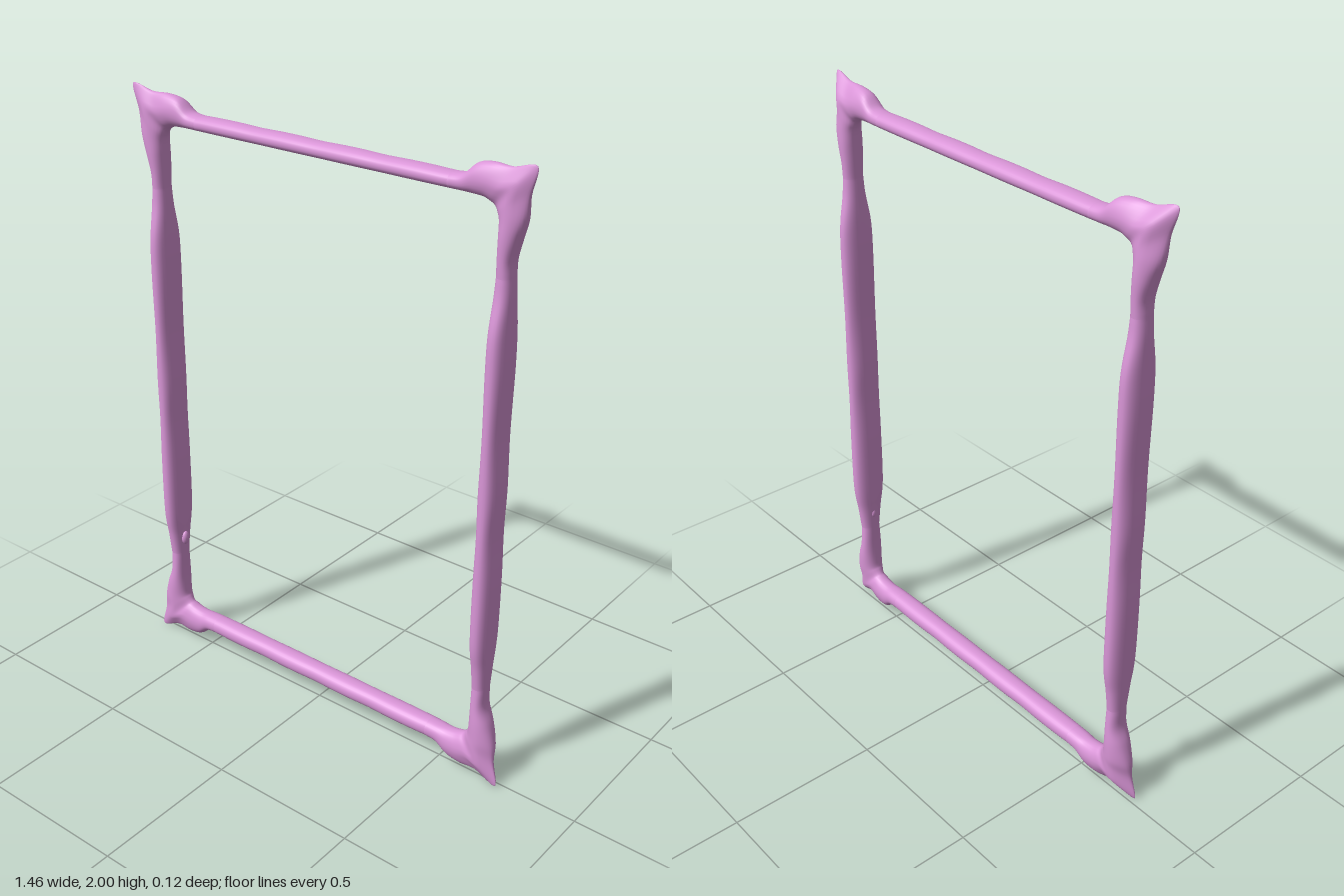
import * as THREE from 'three';

const SIDES = 28;
const material = new THREE.MeshStandardMaterial({ color: 0xda96d8 });

// Slightly squared-off oval
const fuller = v => Math.sign(v) * Math.abs(v) ** 0.88;

// Lofts oval sections between an inner and an outer edge, running clockwise seen from the front.
// Station: [innerX, innerY, outerX, outerY, halfDepth, taper towards the outer edge]
function loft(name, stations, steps) {
  const inner = new THREE.CatmullRomCurve3(stations.map(s => new THREE.Vector3(s[0], s[1], s[4])), false, 'catmullrom', 0.5);
  const outer = new THREE.CatmullRomCurve3(stations.map(s => new THREE.Vector3(s[2], s[3], s[5])), false, 'catmullrom', 0.5);
  const pos = [], index = [];
  const rings = (stations.length - 1) * steps;
  for (let i = 0; i <= rings; i++) {
    const p = inner.getPoint(i / rings), q = outer.getPoint(i / rings);
    for (let j = 0; j < SIDES; j++) {
      const a = (j / SIDES) * Math.PI * 2;
      const c = fuller(Math.cos(a)), u = (1 + c) / 2;
      // Tapered corners lean towards the front
      const z = p.z * fuller(Math.sin(a)) * (1 - q.z * Math.max(0, c)) + 0.022 * q.z * u * u;
      pos.push(p.x + (q.x - p.x) * u, p.y + (q.y - p.y) * u, z);
      if (i < rings) {
        const k = (j + 1) % SIDES, r = i * SIDES, n = r + SIDES;
        index.push(r + j, r + k, n + j, r + k, n + k, n + j);
      }
    }
  }
  const g = new THREE.BufferGeometry();
  g.setAttribute('position', new THREE.Float32BufferAttribute(pos, 3));
  g.setIndex(index);
  g.computeVertexNormals();
  const mesh = new THREE.Mesh(g, material);
  mesh.name = name;
  return mesh;
}

// Reversing the order keeps the faces outward after mirroring in x
const mirror = st => st.map(([a, b, c, d, ...rest]) => [-a, b, -c, d, ...rest]).reverse();

const topCorner = [
  [0.46, 1.89, 0.46, 1.935, 0.035, 0],
  [0.50, 1.89, 0.50, 1.942, 0.035, 0],
  [0.535, 1.888, 0.54, 1.975, 0.036, 0.1],
  [0.565, 1.886, 0.59, 1.985, 0.037, 0.3],
  [0.585, 1.878, 0.65, 1.985, 0.037, 0.6],
  [0.598, 1.868, 0.725, 2.0, 0.037, 0.85],
  [0.608, 1.855, 0.708, 1.92, 0.039, 0.6],
  [0.615, 1.835, 0.70, 1.85, 0.041, 0.3],
  [0.617, 1.79, 0.681, 1.79, 0.041, 0.1],
  [0.617, 1.73, 0.665, 1.73, 0.037, 0],
  [0.617, 1.68, 0.665, 1.68, 0.034, 0],
];

// Side rail: swells in depth along the middle, with gentle waves in width
const sideRail = [
  [0.617, 1.68, 0.665, 1.68, 0.034, 0],
  [0.614, 1.62, 0.668, 1.62, 0.039, 0],
  [0.61, 1.52, 0.669, 1.52, 0.056, 0],
  [0.609, 1.4, 0.67, 1.4, 0.059, 0],
  [0.612, 1.2, 0.666, 1.2, 0.058, 0],
  [0.608, 1.02, 0.671, 1.02, 0.058, 0],
  [0.611, 0.88, 0.667, 0.88, 0.058, 0],
  [0.608, 0.72, 0.671, 0.72, 0.059, 0],
  [0.609, 0.52, 0.67, 0.52, 0.058, 0],
  [0.613, 0.42, 0.667, 0.42, 0.044, 0],
  [0.616, 0.34, 0.664, 0.34, 0.034, 0],
];

const bottomCorner = [
  [0.616, 0.34, 0.664, 0.34, 0.034, 0],
  [0.616, 0.27, 0.665, 0.27, 0.038, 0],
  [0.614, 0.21, 0.687, 0.21, 0.042, 0.1],
  [0.61, 0.17, 0.706, 0.14, 0.042, 0.3],
  [0.603, 0.155, 0.71, 0.08, 0.04, 0.6],
  [0.592, 0.142, 0.725, 0.0, 0.038, 0.85],
  [0.58, 0.135, 0.65, 0.025, 0.037, 0.6],
  [0.56, 0.128, 0.59, 0.02, 0.037, 0.3],
  [0.53, 0.124, 0.54, 0.03, 0.036, 0.1],
  [0.50, 0.124, 0.50, 0.06, 0.035, 0],
  [0.46, 0.125, 0.46, 0.066, 0.035, 0],
];

// Straight rail between the corners, slightly uneven
function crossRail(innerY, outerY) {
  const st = [];
  for (let i = 0; i <= 12; i++) {
    const x = -0.46 + (0.92 * i) / 12;
    const w = Math.sin((i / 12) * Math.PI * 4) ** 2 * 0.002;
    st.push([x, innerY, x, outerY + w * Math.sign(outerY - innerY), 0.035 + w, 0]);
  }
  return st;
}

function createModel() {
  const group = new THREE.Group();
  group.name = 'frame';

  group.add(loft('topRail', crossRail(1.89, 1.935), 3));
  group.add(loft('bottomRail', crossRail(0.125, 0.066).reverse(), 3));

  const sided = { TopCorner: topCorner, SideRail: sideRail, BottomCorner: bottomCorner };
  for (const [name, st] of Object.entries(sided)) {
    group.add(loft('left' + name, st, 6));
    group.add(loft('right' + name, mirror(st), 6));
  }

  // Small knots on the inner faces of the side rails
  for (const [name, x, r] of [['rightKnot', -0.613, 0.016], ['leftKnot', 0.618, 0.01]]) {
    const knot = new THREE.Mesh(new THREE.SphereGeometry(r, 16, 12), material);
    knot.name = name;
    knot.scale.set(0.8, 1.6, 1);
    knot.position.set(x, 0.4, 0);
    group.add(knot);
  }
  return group;
}

export { createModel };
